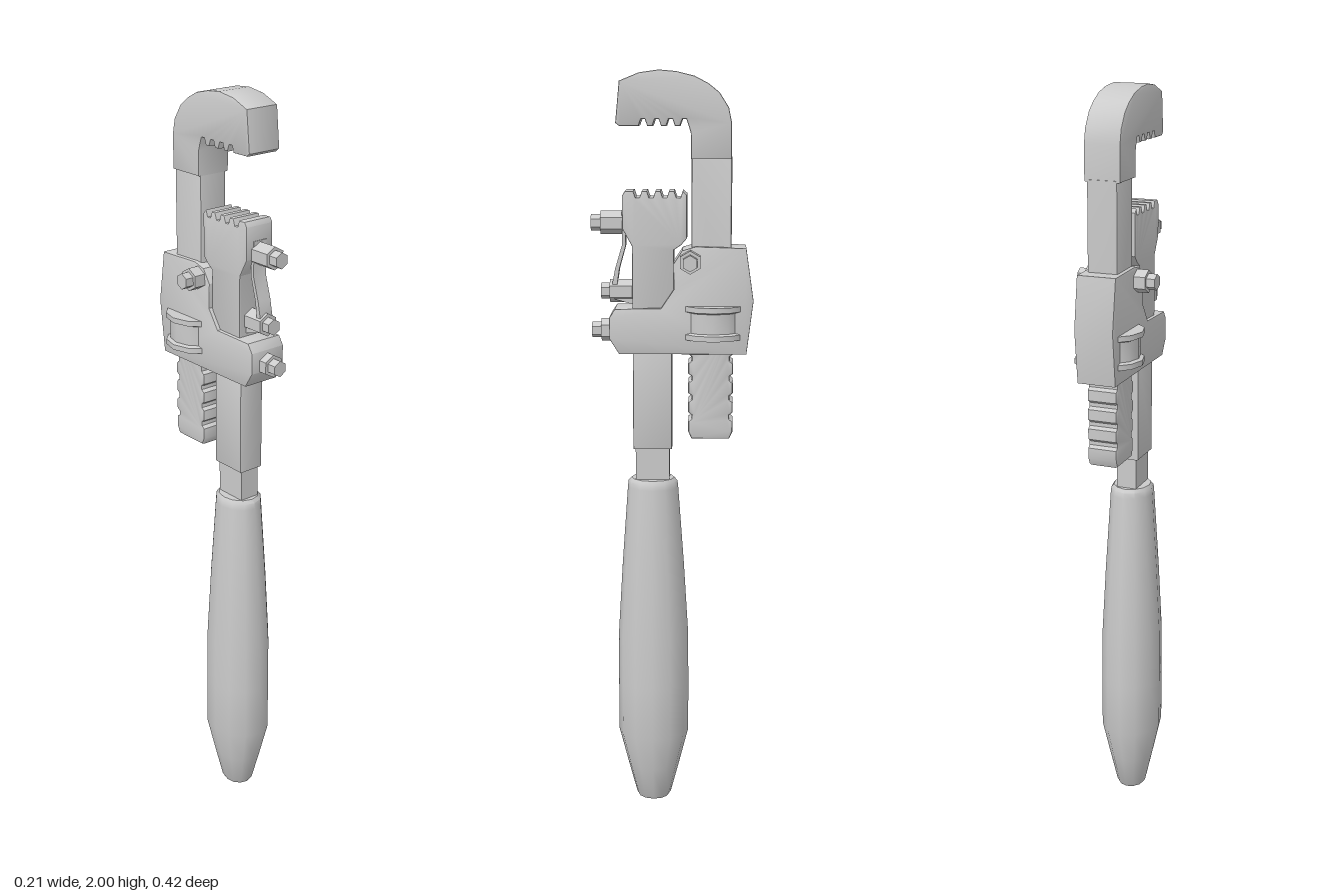
import * as THREE from 'three';
import { toCreasedNormals } from 'three/addons/utils/BufferGeometryUtils.js';

const mat = new THREE.MeshStandardMaterial({ color: 0xcccccc });

export function createModel() {
  const model = new THREE.Group();
  const add = (name, geo, x = 0, y = 0, z = 0) => {
    const mesh = new THREE.Mesh(geo, mat);
    mesh.name = name;
    mesh.position.set(x, y, z);
    model.add(mesh);
    return mesh;
  };

  // Side outline of [z, y] points, extruded symmetrically across x
  const plate = (name, points, halfWidth, bevel = 0.005) => {
    const shape = new THREE.Shape(points.map(([z, y]) => new THREE.Vector2(z, y)));
    const geo = new THREE.ExtrudeGeometry(shape, {
      depth: 2 * (halfWidth - bevel), bevelEnabled: bevel > 0, bevelThickness: bevel,
      bevelSize: bevel, bevelOffset: -bevel, bevelSegments: 2,
    });
    geo.translate(0, 0, bevel - halfWidth);
    geo.rotateY(-Math.PI / 2);
    return add(name, toCreasedNormals(geo, 0.6));
  };

  // Row of V-shaped gripping grooves cut into a level edge
  const grooves = (zs, y, depth) => zs.flatMap((z) => [
    [z + 0.011, y], [z + 0.005, y + depth], [z - 0.005, y + depth], [z - 0.011, y],
  ]);

  // Handle: tapered, oval in section
  const profile = [[0, 0], [0.043, 0], [0.048, 0.008], [0.072, 0.1], [0.097, 0.2], [0.097, 0.35],
    [0.096, 0.49], [0.084, 0.69], [0.068, 0.91], [0.066, 0.926], [0.058, 0.935], [0, 0.935]];
  const handleGeo = new THREE.LatheGeometry(profile.map((p) => new THREE.Vector2(...p)), 12, Math.PI / 2);
  handleGeo.scale(0.86, 1, 1);
  add('handle', toCreasedNormals(handleGeo, 0.75), 0, 0, 0.054);

  // Shaft rising out of the handle
  add('tang', new THREE.BoxGeometry(0.056, 0.12, 0.09), 0, 0.98, 0.054);
  plate('shaft', [[0.105, 1.02], [0.105, 1.3], [0.002, 1.3], [0.002, 1.02]], 0.037, 0.004);

  // Fixed lower jaw with toothed top
  plate('lowerJaw', [
    [0.105, 1.28], [0.105, 1.56], [0.13, 1.605], [0.13, 1.688], [0.122, 1.7],
    ...grooves([0.09, 0.055, 0.02, -0.015], 1.7, -0.017),
    [-0.037, 1.69], [-0.037, 1.58], [-0.022, 1.563], [-0.003, 1.55], [-0.003, 1.28],
  ], 0.042, 0.003);

  // Housing joining the two jaws
  plate('housing', [
    [0.15, 1.398], [0.165, 1.375], [0.165, 1.32], [0.14, 1.28], [-0.193, 1.28], [-0.21, 1.42],
    [-0.19, 1.556], [-0.06, 1.56], [-0.025, 1.55], [-0.002, 1.515], [-0.004, 1.45], [0.03, 1.4],
  ], 0.052, 0.002);

  // Hooked upper jaw
  plate('hookJaw', [
    [-0.15, 1.78], [-0.15, 1.87], [-0.142, 1.908], [-0.118, 1.945], [-0.09, 1.967], [-0.055, 1.985],
    [-0.01, 1.996], [0.035, 2], [0.085, 1.993], [0.135, 1.973], [0.145, 1.87], [0.135, 1.862],
    ...grooves([0.075, 0.04, 0.005, -0.03], 1.862, 0.017),
    [-0.046, 1.845], [-0.047, 1.78],
  ], 0.048, 0.004);

  // Sliding shank with threaded ripples on both edges of its lower end
  const ripples = [];
  for (let i = 0; i < 5; i++) {
    const y = 1.07 + i * 0.052;
    ripples.push([0.059, y], [0.059, y + 0.028], [0.05, y + 0.035], [0.05, y + 0.045]);
  }
  const shankZ = -0.1;
  const edge = [[0.05, 1.05], ...ripples, [0.052, 1.34], [0.052, 1.785]];
  plate('shank', [
    ...edge.map(([d, y]) => [shankZ + d, y]),
    ...edge.slice().reverse().map(([d, y]) => [shankZ - d, y]),
  ], 0.041, 0.007);

  // Adjusting nut: a spool showing on both sides of the housing
  const spool = [[0, 1.318], [0.09, 1.318], [0.09, 1.332], [0.08, 1.336],
    [0.08, 1.388], [0.09, 1.392], [0.09, 1.406], [0, 1.406]];
  add('adjustingNut', toCreasedNormals(
    new THREE.LatheGeometry(spool.map((p) => new THREE.Vector2(...p)), 12, Math.PI / 2), 0.6), 0, 0, -0.105);

  // Spring strip up the front of the lower jaw
  plate('spring', [
    [0.1, 1.405], [0.152, 1.42], [0.158, 1.46], [0.15, 1.5], [0.132, 1.56], [0.132, 1.65],
    [0.124, 1.65], [0.122, 1.56], [0.139, 1.5], [0.145, 1.46], [0.142, 1.435], [0.1, 1.425],
  ], 0.02, 0);

  // Hexagonal nut with a smaller hexagonal stud end, pointing along +z
  const bolt = (name, x, y, z, turn, start, mid, end) => {
    const group = new THREE.Group();
    group.name = name;
    for (const [part, r, a, b] of [['nut', 0.03, start, mid], ['stud', 0.021, mid - 0.005, end]]) {
      const geo = new THREE.CylinderGeometry(r, r, b - a, 6).toNonIndexed();
      geo.computeVertexNormals();
      geo.rotateX(Math.PI / 2);
      geo.translate(0, 0, (a + b) / 2);
      const mesh = new THREE.Mesh(geo, mat);
      mesh.name = part;
      group.add(mesh);
    }
    group.position.set(x, y, z);
    group.rotation.y = turn;
    model.add(group);
  };
  bolt('upperFrontBolt', 0, 1.617, 0, 0, 0.125, 0.188, 0.213);
  bolt('middleFrontBolt', 0, 1.44, 0, 0, 0.1, 0.165, 0.188);
  bolt('lowerFrontBolt', 0, 1.337, 0, 0, 0.14, 0.188, 0.213);
  bolt('leftSideBolt', 0, 1.522, -0.046, Math.PI / 2, 0.03, 0.083, 0.106);
  bolt('rightSideBolt', 0, 1.522, -0.046, -Math.PI / 2, 0.03, 0.083, 0.106);

  return model;
}
